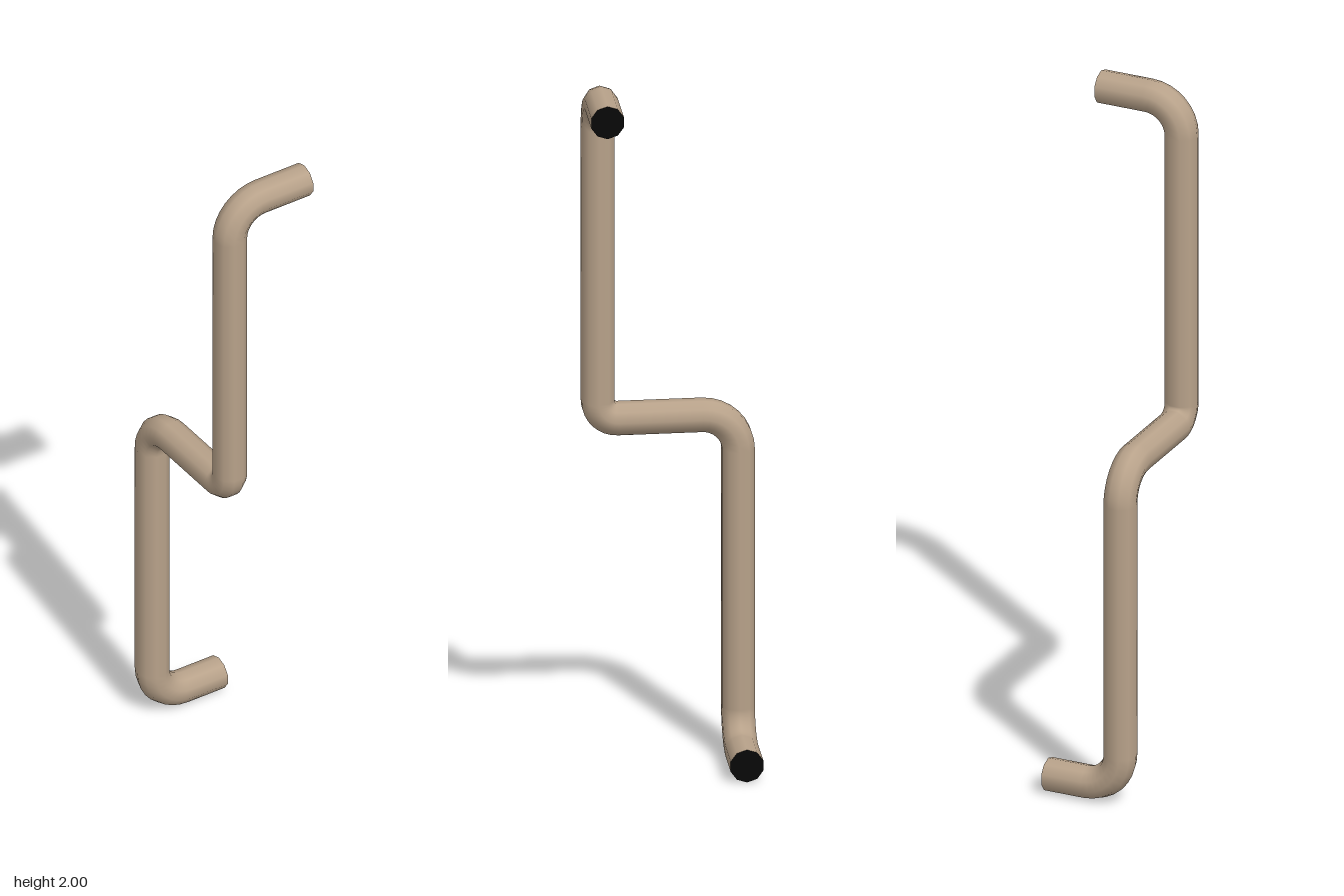
import * as THREE from 'three';

const RADIUS = 0.0475;
const SIDES = 10;
const BEND_STEPS = 8;

// Centreline corners, each with its bend radius
const corners = [
  { p: [0.12, 0.0475, -0.195], r: 0 },
  { p: [-0.0995, 0.0475, -0.195], r: 0.1 },
  { p: [-0.0995, 0.999, -0.195], r: 0.1 },
  { p: [-0.0995, 0.999, 0.193], r: 0.055 },
  { p: [-0.0995, 1.9525, 0.193], r: 0.1 },
  { p: [0.145, 1.9525, 0.193], r: 0 },
].map(({ p, r }) => ({ p: new THREE.Vector3(...p), r }));

// Points and tangents along the path, with right-angle circular bends
function traceCentreline() {
  const stations = [];
  corners.forEach(({ p, r }, i) => {
    const before = corners[i - 1], after = corners[i + 1];
    const tin = before && p.clone().sub(before.p).normalize();
    const tout = after && after.p.clone().sub(p).normalize();
    if (!before || !after) {
      stations.push({ point: p, tangent: tin || tout });
      return;
    }
    const centre = p.clone().addScaledVector(tin, -r).addScaledVector(tout, r);
    for (let k = 0; k <= BEND_STEPS; k++) {
      const a = (k / BEND_STEPS) * Math.PI / 2;
      const c = Math.cos(a), s = Math.sin(a);
      stations.push({
        point: centre.clone().addScaledVector(tout, -r * c).addScaledVector(tin, r * s),
        tangent: tin.clone().multiplyScalar(c).addScaledVector(tout, s),
      });
    }
  });
  return stations;
}

// Ten-sided cross-section carried along the path without twisting
function rodGeometry() {
  const positions = [], normals = [], indices = [];
  const stations = traceCentreline();
  const normal = new THREE.Vector3(0, 1, 0);
  const turn = new THREE.Quaternion();
  stations.forEach(({ point, tangent }, i) => {
    if (i > 0) normal.applyQuaternion(turn.setFromUnitVectors(stations[i - 1].tangent, tangent));
    const side = tangent.clone().cross(normal);
    for (let j = 0; j < SIDES; j++) {
      const a = (j / SIDES) * Math.PI * 2;
      const out = normal.clone().multiplyScalar(Math.cos(a)).addScaledVector(side, Math.sin(a));
      normals.push(out.x, out.y, out.z);
      out.multiplyScalar(RADIUS).add(point);
      positions.push(out.x, out.y, out.z);
      if (i > 0) {
        const j2 = (j + 1) % SIDES, lo = (i - 1) * SIDES, hi = i * SIDES;
        indices.push(lo + j, lo + j2, hi + j, lo + j2, hi + j2, hi + j);
      }
    }
  });
  const geometry = new THREE.BufferGeometry();
  geometry.setAttribute('position', new THREE.Float32BufferAttribute(positions, 3));
  geometry.setAttribute('normal', new THREE.Float32BufferAttribute(normals, 3));
  geometry.setIndex(indices);
  return geometry;
}

export function createModel() {
  const tan = new THREE.MeshStandardMaterial({ color: 0xb8a28a });
  tan.name = 'tan';
  const black = new THREE.MeshStandardMaterial({ color: 0x080808 });
  black.name = 'black';

  const group = new THREE.Group();
  group.name = 'bentRod';

  const rod = new THREE.Mesh(rodGeometry(), tan);
  rod.name = 'rod';
  group.add(rod);

  // Dark end faces, both facing +x
  const capGeometry = new THREE.CircleGeometry(RADIUS, SIDES, Math.PI / 2).rotateY(Math.PI / 2);
  [['lowerEnd', corners[0]], ['upperEnd', corners[corners.length - 1]]].forEach(([name, { p }]) => {
    const cap = new THREE.Mesh(capGeometry, black);
    cap.name = name;
    cap.position.copy(p);
    group.add(cap);
  });
  return group;
}
